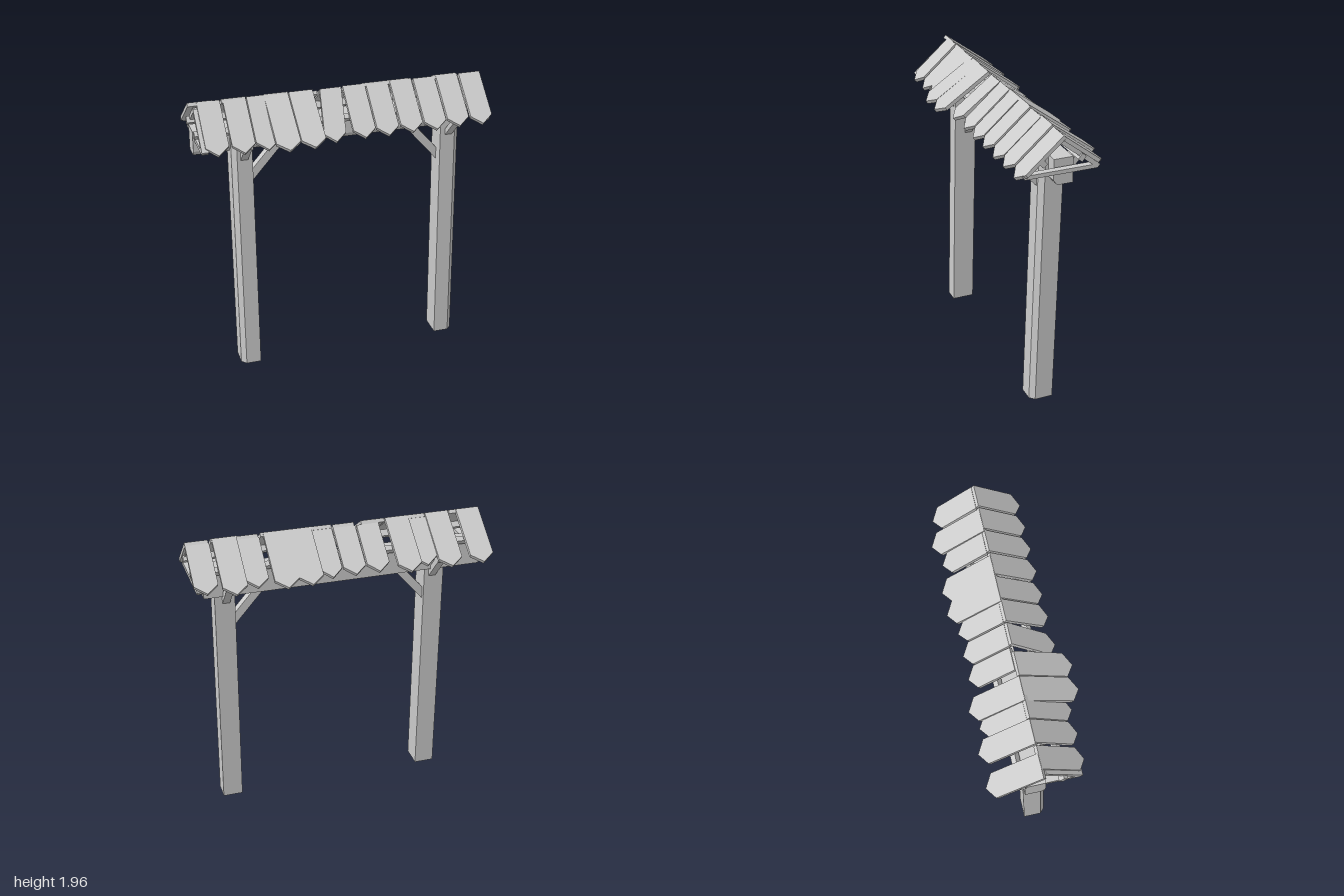
import * as THREE from 'three';

const mat = new THREE.MeshStandardMaterial({ color: 0xcccccc, flatShading: true });

export function createModel() {
  const model = new THREE.Group();

  const add = (name, geo) => {
    const mesh = new THREE.Mesh(geo, mat);
    mesh.name = name;
    model.add(mesh);
    return mesh;
  };
  const polygon = pts => new THREE.Shape(pts.map(p => new THREE.Vector2(...p)));
  const extrude = (pts, depth) =>
    new THREE.ExtrudeGeometry(polygon(pts), { depth, bevelEnabled: false });

  // Straight timber between two points, w wide and h high
  const bar = (name, a, b, w, h) => {
    const p = new THREE.Vector3(...a), q = new THREE.Vector3(...b);
    const mesh = add(name, new THREE.BoxGeometry(w, h, p.distanceTo(q)));
    mesh.position.copy(p).add(q).multiplyScalar(0.5);
    mesh.lookAt(q);
  };

  // Posts: outer front corner chamfered, leaning slightly backwards
  const post = (name, x, side) => {
    const w = 0.0675, c = 0.032;
    let pts = [[-w, 0.05], [-w, -0.105], [w - c, -0.105], [w, -0.105 + c], [w, 0.05]];
    if (side < 0) pts = pts.map(([u, v]) => [-u, v]).reverse();
    const geo = extrude(pts, 1.77).rotateX(-Math.PI / 2);
    const pos = geo.attributes.position;
    for (let i = 0; i < pos.count; i++) pos.setZ(i, pos.getZ(i) - 0.025 * pos.getY(i));
    geo.computeVertexNormals();
    add(name, geo).position.x = x;
  };
  post('rightPost', -0.672, -1);
  post('leftPost', 0.768, 1);

  // Main beam: profile in (-z, y) with a chamfered lower front edge
  const beam = extrude(
    [[-0.01, 1.63], [0.015, 1.597], [0.12, 1.597], [0.12, 1.77], [-0.01, 1.77]], 1.89);
  add('beam', beam.rotateY(Math.PI / 2)).position.x = -0.98;

  // Diagonal braces between posts and beam
  bar('beamBrace', [-0.635, 1.36, -0.03], [-0.40, 1.63, -0.03], 0.055, 0.055);
  bar('beamBrace', [0.73, 1.36, -0.03], [0.495, 1.63, -0.03], 0.055, 0.055);

  // Tie bars and side braces at the posts
  for (const x of [-0.66, 0.76]) {
    bar('tieBar', [x, 1.713, -0.25], [x, 1.713, 0.24], 0.05, 0.026);
    bar('sideBrace', [x, 1.55, 0.04], [x, 1.715, 0.205], 0.05, 0.032);
    bar('sideBrace', [x, 1.53, -0.06], [x, 1.715, -0.23], 0.05, 0.04);
  }

  // End trusses: a tie bar and two rafters
  for (const x of [-0.945, 0.955]) {
    bar('tieBar', [x, 1.713, -0.25], [x, 1.713, 0.23], 0.045, 0.026);
    bar('rafter', [x, 1.915, 0], [x, 1.71, 0.235], 0.045, 0.028);
    bar('rafter', [x, 1.915, 0], [x, 1.71, -0.26], 0.045, 0.028);
  }

  // Long battens under the planks
  for (const [z, tilt] of [[0.115, 0.74], [-0.14, -0.66]]) {
    const batten = add('batten', new THREE.BoxGeometry(1.98, 0.045, 0.036));
    batten.position.set(0, 1.79, z);
    batten.rotation.x = tilt;
  }

  // Pointed roof plank from the ridge (z0, y0) down to its tip (z1, y1)
  const t = 0.026;
  const plank = (name, x0, x1, [z0, y0], [z1, y1], skew = 0) => {
    const len = Math.hypot(z1 - z0, y1 - y0), shoulder = len - 0.06;
    const geo = extrude([
      [x0, 0], [x1, 0], [x1 + skew, shoulder],
      [(x0 + x1) / 2 + skew, len], [x0 + skew, shoulder]], t);
    const front = z1 > 0;
    if (!front) geo.translate(0, 0, -t);
    const X = new THREE.Vector3(1, 0, 0);
    const D = new THREE.Vector3(0, y1 - y0, z1 - z0).normalize();
    const N = X.clone().cross(D);
    geo.applyMatrix4(new THREE.Matrix4().makeBasis(X, D, N).setPosition(0, y0, z0));
    add(name, geo);
  };

  // Front planks: x start, x end, long or short, skew
  [[-0.94, -0.79], [-0.77, -0.62], [-0.615, -0.465], [-0.50, -0.34, true],
    [-0.335, -0.175, true], [-0.125, 0.02, false, -0.04], [0.03, 0.18], [0.19, 0.34],
    [0.355, 0.505], [0.52, 0.67], [0.68, 0.83], [0.845, 0.995],
  ].forEach(([a, b, long, skew], i) => {
    const lift = 0.004 * (i % 2);
    plank('frontPlank', a, b, [-0.012, 1.96 - lift],
      long ? [0.35, 1.715] : [0.278, 1.705 - lift], skew);
  });

  // Back planks
  [[-1, -0.84, true], [-0.78, -0.62, true], [-0.62, -0.47], [-0.50, -0.34, true],
    [-0.29, -0.14], [-0.13, 0.02], [0.03, 0.17], [0.165, 0.325, true],
    [0.325, 0.485, true], [0.515, 0.665], [0.66, 0.82, true], [0.84, 0.995],
  ].forEach(([a, b, long]) => {
    plank('backPlank', a, b, long ? [-0.015, 1.962] : [-0.03, 1.94],
      long ? [-0.352, 1.715] : [-0.31, 1.725]);
  });

  return model;
}
